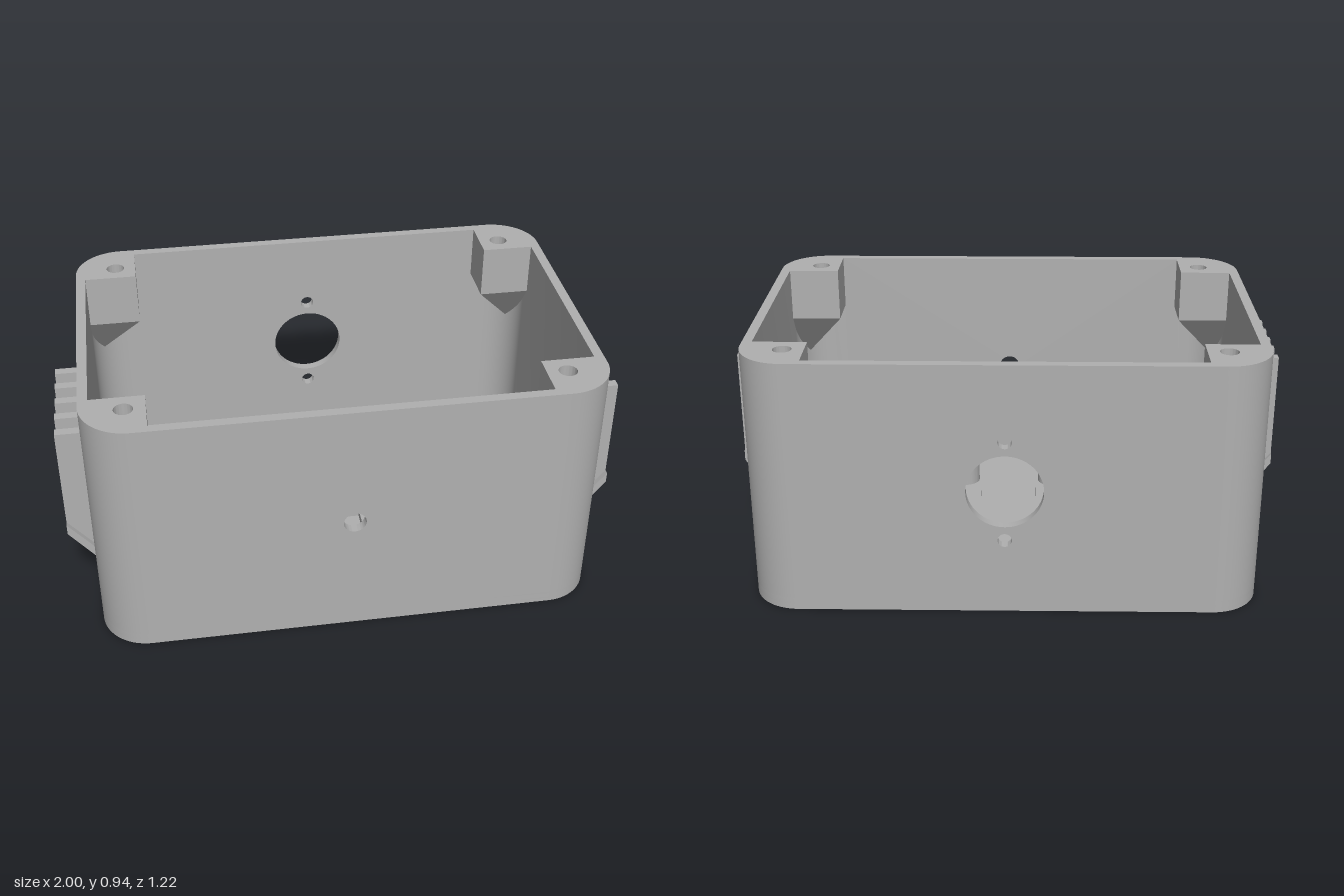
import * as THREE from 'three';
import { toCreasedNormals } from 'three/addons/utils/BufferGeometryUtils.js';
import { ConvexGeometry } from 'three/addons/geometries/ConvexGeometry.js';

const W = 0.905, D = 0.612, H = 0.935;      // half width, half depth, height
const IX = 0.87, IZ = 0.577;                // inner wall faces
const CX = 0.735, CZ = 0.442;               // centre of the rounded corners
const PX = 0.68, PZ = 0.403;                // inner edges of the corner posts
const FLOOR = 0.045, PORT_X = 0.415, PORT_Z = 0.1;

const V2 = (x, y) => new THREE.Vector2(x, y);
const polygon = (pts) => new THREE.Shape(pts.map(([x, y]) => V2(x, y)));
const circle = (x, y, r, Type = THREE.Path) => new Type().absarc(x, y, r, 0, Math.PI * 2, false);

// Points along an arc, in the shape plane
function arc(cx, cy, r, a0, a1, n = 16) {
  return Array.from({ length: n + 1 }, (_, i) => {
    const a = a0 + ((a1 - a0) * i) / n;
    return [cx + r * Math.cos(a), cy + r * Math.sin(a)];
  });
}

function extrude(shape, depth) {
  const geo = new THREE.ExtrudeGeometry(shape, { depth, bevelEnabled: false, curveSegments: 32 });
  return toCreasedNormals(geo, 0.5);
}

// Plan shape (x, z) raised between two heights
function slab(shape, y0, y1) {
  return extrude(shape, y1 - y0).rotateX(Math.PI / 2).translate(0, y1, 0);
}

// Footprint of the case
function footprint() {
  const q = Math.PI / 2;
  return polygon([
    ...arc(CX, CZ, 0.17, 0, q), ...arc(-CX, CZ, 0.17, q, 2 * q),
    ...arc(-CX, -CZ, 0.17, 2 * q, 3 * q), ...arc(CX, -CZ, 0.17, 3 * q, 4 * q),
  ]);
}

// Curved cable groove with a round pocket at each end
function groovePath() {
  const R = 0.628, cz = 0.25, a = 0.572, up = -Math.PI / 2, w = 0.016, r = 0.028;
  const end = (t) => [R * Math.cos(t), cz + R * Math.sin(t)];
  return new THREE.Path([
    ...arc(0, cz, R + w, up - a + 0.05, up + a - 0.05, 28),
    ...arc(...end(up + a), r, up + a - 0.6, up + a + Math.PI + 0.6, 16),
    ...arc(0, cz, R - w, up + a - 0.05, up - a + 0.05, 28),
    ...arc(...end(up - a), r, up - a + Math.PI - 0.6, up - a + 2 * Math.PI + 0.6, 16),
  ].map(([x, y]) => V2(x, y)));
}

export function createModel() {
  const model = new THREE.Group();
  model.name = 'enclosure';
  const grey = new THREE.MeshStandardMaterial({ color: 0xb0b0b0 });
  grey.name = 'grey plastic';
  const add = (name, geo, parent = model) => {
    const mesh = new THREE.Mesh(geo, grey);
    mesh.name = name;
    parent.add(mesh);
    return mesh;
  };

  // Floor: lower layer with recesses and groove, upper layer with the ports
  const lower = footprint(), upper = footprint();
  for (const s of [-1, 1]) {
    lower.holes.push(circle(s * PORT_X, PORT_Z, 0.35));
    upper.holes.push(circle(s * PORT_X, PORT_Z, 0.245));
  }
  lower.holes.push(groovePath());
  add('floorRecessLayer', slab(lower, 0, 0.02));
  add('floor', slab(upper, 0.02, FLOOR));

  // Front and back walls with their openings
  const panel = (holes) => {
    const shape = polygon([[-PX, FLOOR], [PX, FLOOR], [PX, H], [-PX, H]]);
    holes.forEach(([y, r]) => shape.holes.push(circle(0, y, r)));
    return extrude(shape, D - IZ);
  };
  add('frontWall', panel([[0.47, 0.04]]).translate(0, 0, IZ));
  add('backWall', panel([[0.47, 0.135], [0.283, 0.025], [0.657, 0.025]]).translate(0, 0, -D));

  // End walls wrapping round the corners
  const q = Math.PI / 2;
  const endShape = polygon([
    [PX, -D], ...arc(CX, -CZ, 0.17, -q, 0), ...arc(CX, CZ, 0.17, 0, q), [PX, D],
    [PX, IZ], ...arc(CX, CZ, 0.135, q, 0), ...arc(CX, -CZ, 0.135, 0, -q), [PX, -IZ],
  ]);
  add('leftWall', slab(endShape, FLOOR, H));
  add('rightWall', slab(endShape, FLOOR, H).rotateY(Math.PI));

  // Corner screw posts, each tapering down into its corner
  for (const sx of [-1, 1]) for (const sz of [-1, 1]) {
    const post = new THREE.Group();
    post.name = 'cornerPost';
    model.add(post);
    const outline = [[PX, PZ], [IX, PZ], ...arc(CX, CZ, 0.135, 0, q), [PX, IZ]];
    const shape = polygon(outline.map(([x, z]) => [x * sx, z * sz]));
    shape.holes.push(circle(0.755 * sx, 0.475 * sz, 0.033));
    add('postBlock', slab(shape, 0.735, H), post);
    const taper = [
      [PX, 0.735, PZ], [0.885, 0.735, PZ], [PX, 0.735, 0.592],
      [0.845, 0.735, 0.552], [0.845, 0.53, 0.552],
    ].map(([x, y, z]) => new THREE.Vector3(x * sx, y, z * sz));
    add('postTaper', new ConvexGeometry(taper), post);
  }

  // Raised collars with tabs, and the hollow screw bosses
  for (const s of [-1, 1]) {
    const a = Math.asin(0.13 / 0.27);
    const ring = polygon([
      [0.11, PORT_Z - 0.13],
      ...arc(PORT_X, PORT_Z, 0.27, Math.PI + a, 3 * Math.PI - a, 48),
      [0.11, PORT_Z + 0.13],
    ].map(([x, z]) => [x * s, z]));
    ring.holes.push(circle(s * PORT_X, PORT_Z, 0.245));
    add('portCollar', slab(ring, FLOOR, 0.075));
    for (const [x, z] of [[0.655, -0.16], [0.18, 0.355]]) {
      const boss = circle(s * x, z, 0.058, THREE.Shape);
      boss.holes.push(circle(s * x, z, 0.03));
      add('screwBoss', slab(boss, FLOOR, 0.16));
    }
  }

  // Central block running in from the back wall
  const block = polygon([[-0.11, -IZ], [0.11, -IZ], [0.11, 0.07], [-0.11, 0.07]]);
  add('centreBlock', slab(block, FLOOR, 0.11));

  // Side hoods: a sloping shelf carrying five upright fins
  for (const s of [-1, 1]) {
    const hood = new THREE.Group();
    hood.name = s > 0 ? 'leftHood' : 'rightHood';
    model.add(hood);
    const side = (pts) => polygon(pts.map(([x, y]) => [x * s, y]));
    const shelf = side([[0.9, 0.21], [W, 0.215], [1, 0.335], [1, 0.375], [W, 0.26], [0.9, 0.254]]);
    add('shelf', extrude(shelf, 0.445).translate(0, 0, -0.085), hood);
    const fin = side([[0.9, 0.24], [1, 0.36], [1, 0.76], [0.9, 0.76]]);
    for (let i = 0; i < 5; i++) {
      add('fin', extrude(fin, 0.034).translate(0, 0, -0.073 + i * 0.095), hood);
    }
  }
  return model;
}
